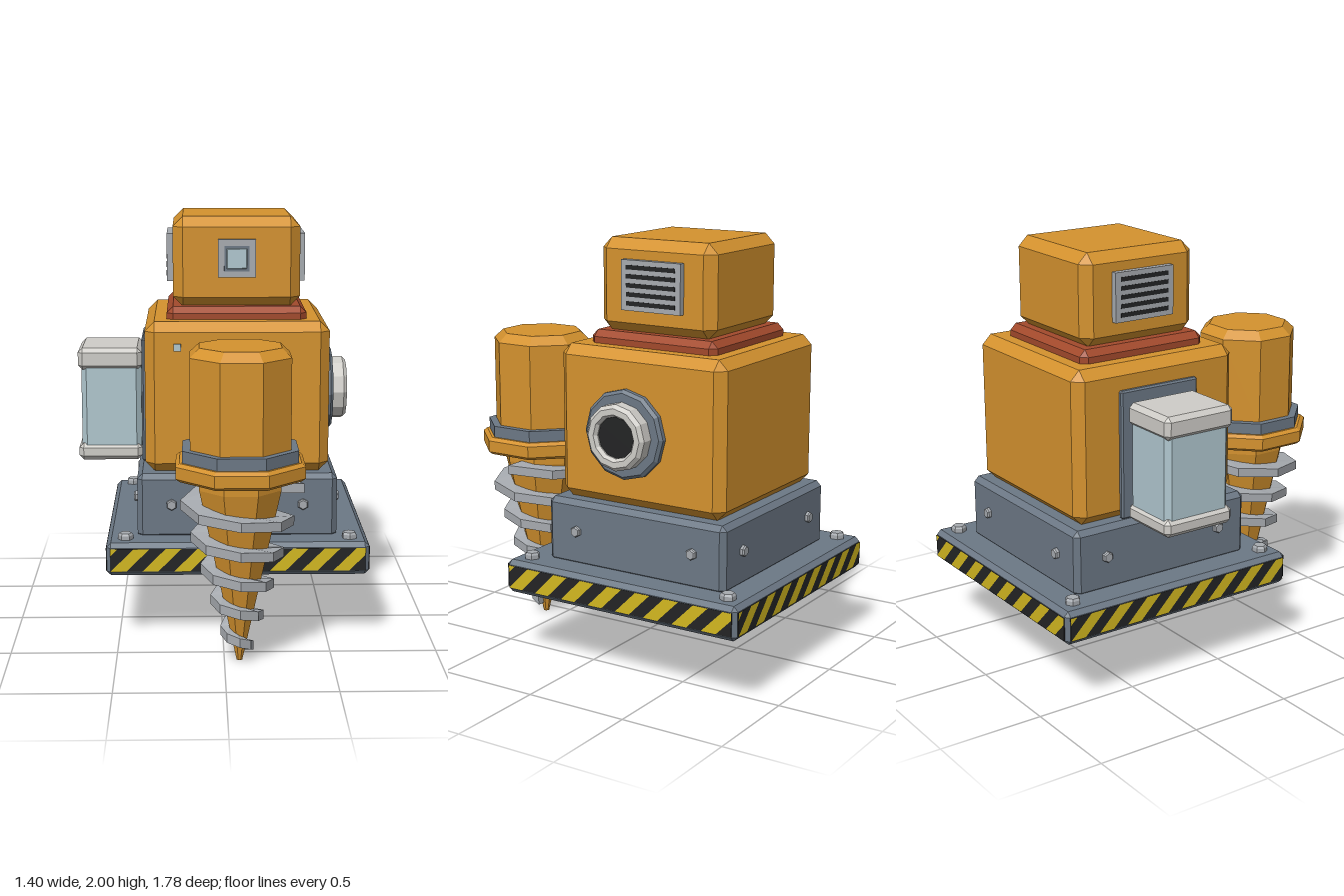
import * as THREE from 'three';
import { ConvexGeometry } from 'three/addons/geometries/ConvexGeometry.js';

const CX = 0.07, CZ = -0.26; // centre of the main stack
const DRILL_Z = 0.6;

function mat(name, color) {
  const m = new THREE.MeshStandardMaterial({ color });
  m.name = name;
  return m;
}

// faceted normals
function flat(geo) {
  const g = geo.index ? geo.toNonIndexed() : geo;
  g.computeVertexNormals();
  return g;
}

// box with all edges cut at 45 degrees
function chamferBox(w, h, d, c) {
  const pts = [];
  for (const x of [-1, 1]) for (const y of [-1, 1]) for (const z of [-1, 1]) {
    const a = x * w / 2, b = y * h / 2, e = z * d / 2;
    pts.push(new THREE.Vector3(a, b - y * c, e - z * c),
      new THREE.Vector3(a - x * c, b, e - z * c),
      new THREE.Vector3(a - x * c, b - y * c, e));
  }
  return new ConvexGeometry(pts);
}

// faceted lathe; radii are measured to the flats when onFlats is set
function turned(profile, sides, onFlats) {
  const k = onFlats ? 1 / Math.cos(Math.PI / sides) : 1;
  const g = new THREE.LatheGeometry(profile.map(([r, y]) => new THREE.Vector2(r * k, y)), sides);
  if (onFlats) g.rotateY(Math.PI / sides);
  return flat(g);
}

// spiral blade winding down a cone, square ends
function spiralBlade() {
  const turns = 5, steps = turns * 8, pos = [], idx = [];
  for (let i = 0; i <= steps; i++) {
    const a = -i * Math.PI / 4, y = 0.82 - 0.75 * i / steps;
    const rOut = 0.066 + 0.304 * (y - 0.07), rIn = 0.01 + 0.19 * y;
    for (const [r, h] of [[rIn, 0.022], [rOut, 0.022], [rOut, -0.022], [rIn, -0.022]])
      pos.push(r * Math.cos(a), y + h, r * Math.sin(a));
  }
  for (let i = 0; i < steps; i++) for (let c = 0; c < 4; c++) {
    const a = i * 4 + c, b = i * 4 + (c + 1) % 4;
    idx.push(a, b, b + 4, a, b + 4, a + 4);
  }
  const e = steps * 4;
  idx.push(0, 2, 1, 0, 3, 2, e, e + 1, e + 2, e, e + 2, e + 3);
  const g = new THREE.BufferGeometry();
  g.setAttribute('position', new THREE.Float32BufferAttribute(pos, 3));
  g.setIndex(idx);
  return flat(g);
}

// slanted stripes cut off at the ends of a strip
function stripeShapes(halfW, halfH, period) {
  const clip = (poly, s) => poly.flatMap((p, i) => {
    const q = poly[(i + 1) % poly.length], out = [];
    const pin = s * p[0] <= halfW, qin = s * q[0] <= halfW;
    if (pin) out.push(p);
    if (pin !== qin) {
      const t = (s * halfW - p[0]) / (q[0] - p[0]);
      out.push([s * halfW, p[1] + t * (q[1] - p[1])]);
    }
    return out;
  });
  const shapes = [];
  for (let x = -halfW - period; x < halfW; x += period) {
    const w = period / 2, s = halfH * 2;
    const poly = clip(clip([[x, -halfH], [x + w, -halfH], [x + w + s, halfH], [x + s, halfH]], 1), -1);
    if (poly.length > 2) shapes.push(new THREE.Shape(poly.map(p => new THREE.Vector2(...p))));
  }
  return shapes;
}

export function createModel() {
  const root = new THREE.Group();
  root.name = 'drillingMachine';
  const orange = mat('orange paint', 0xd4922e);
  const slate = mat('slate metal', 0x6c7885);
  const steel = mat('light steel', 0xa7abb0);
  const cream = mat('pale casing', 0xcfcdc8);
  const glass = mat('pale blue glass', 0xb0c7cf);
  const black = mat('black', 0x232425);
  const yellow = mat('warning yellow', 0xd3b820);
  const red = mat('rust red', 0xa34a2c);

  const add = (name, geo, m, x, y, z, parent = root) => {
    const mesh = new THREE.Mesh(geo, m);
    mesh.name = name;
    mesh.position.set(x, y, z);
    parent.add(mesh);
    return mesh;
  };
  const group = (name, x, y, z, ry = 0) => {
    const g = new THREE.Group();
    g.name = name;
    g.position.set(x, y, z);
    g.rotation.y = ry;
    root.add(g);
    return g;
  };

  // stacked housing
  add('basePlate', chamferBox(1.25, 0.16, 1.25, 0.022), slate, CX, 0.41, CZ);
  add('pedestal', chamferBox(0.96, 0.32, 0.96, 0.025), slate, CX, 0.63, CZ);
  add('body', chamferBox(0.88, 0.727, 0.88, 0.046), orange, CX, 1.152, CZ);
  add('neckCollar', chamferBox(0.67, 0.1, 0.67, 0.03), red, CX, 1.525, CZ);
  add('head', chamferBox(0.61, 0.43, 0.61, 0.048), orange, CX, 1.785, CZ);

  // warning strips and bolts, once per side
  const bolt = (r, h) => turned([[0, 0], [r, 0], [r, h * 0.7], [r * 0.8, h], [0, h]], 6);
  const stripes = new THREE.ShapeGeometry(stripeShapes(0.605, 0.055, 0.151));
  for (let i = 0; i < 4; i++) {
    const side = group('baseSide', CX, 0, CZ, i * Math.PI / 2);
    add('warningStrip', new THREE.BoxGeometry(1.21, 0.11, 0.006), black, 0, 0.41, 0.624, side);
    add('warningStripes', stripes, yellow, 0, 0.41, 0.629, side);
    add('cornerBolt', bolt(0.037, 0.033), steel, 0.535, 0.487, 0.535, side);
    for (const x of [-0.315, 0.315])
      add('pedestalBolt', bolt(0.027, 0.022).rotateX(Math.PI / 2), steel, x, 0.643, 0.478, side);
  }

  // head vents
  for (const s of [-1, 1]) {
    const vent = group('vent', CX + s * 0.305, 1.795, CZ, s * Math.PI / 2);
    add('ventFrame', new THREE.BoxGeometry(0.315, 0.23, 0.06), steel, 0, 0, 0, vent);
    for (let i = -2; i <= 2; i++)
      add('ventSlot', new THREE.BoxGeometry(0.26, 0.02, 0.004), black, 0, i * 0.041, 0.03, vent);
  }

  // head lens and status light
  add('lensFrame', new THREE.BoxGeometry(0.18, 0.18, 0.03), steel, CX, 1.805, 0.047);
  add('lensRim', new THREE.BoxGeometry(0.12, 0.12, 0.02), slate, CX, 1.805, 0.057);
  add('lens', chamferBox(0.106, 0.106, 0.03, 0.008), glass, CX, 1.805, 0.056);
  add('statusLight', new THREE.BoxGeometry(0.035, 0.035, 0.025), glass, -0.215, 1.398, 0.18);

  // round port on the left side
  const port = group('sidePort', 0.51, 1.135, -0.2);
  add('portFlange', turned([[0, -0.02], [0.21, -0.02], [0.21, 0.022], [0.195, 0.035], [0, 0.035]], 12)
    .rotateZ(-Math.PI / 2), slate, 0, 0, 0, port);
  add('portRing', turned([[0.155, 0.02], [0.155, 0.09], [0.138, 0.107], [0.11, 0.107], [0.097, 0.09], [0.097, 0.05]], 12)
    .rotateZ(-Math.PI / 2), cream, 0, 0, 0, port);
  add('portHole', turned([[0.1, 0.083], [0, 0.083]], 12).rotateZ(-Math.PI / 2), black, 0, 0, 0, port);

  // fluid tank on the right side
  add('tankMount', chamferBox(0.03, 0.61, 0.42, 0.008), slate, -0.377, 1.097, -0.265);
  add('tank', chamferBox(0.295, 0.5, 0.345, 0.025), glass, -0.5425, 1.07, -0.265);
  for (const [y, h] of [[1.297, 0.108], [0.832, 0.084]])
    add('tankCap', chamferBox(0.312, h, 0.37, 0.022), cream, -0.549, y, -0.265);

  // arm holding the drill
  add('armFlange', turned([[0, -0.02], [0.18, -0.02], [0.18, 0.04], [0.165, 0.055], [0, 0.055]], 12)
    .rotateX(Math.PI / 2), slate, CX, 1.187, 0.18);
  add('arm', turned([[0, 0], [0.107, 0], [0.107, 0.25], [0, 0.25]], 8, true)
    .rotateX(Math.PI / 2), orange, CX, 1.187, 0.2);

  // drill
  const drill = group('drill', CX, 0, DRILL_Z);
  add('motorHousing', turned([[0, 1], [0.226, 1], [0.226, 1.435], [0.183, 1.477], [0, 1.477]], 8, true),
    orange, 0, 0, 0, drill);
  add('motorRing', turned([[0, 0.95], [0.26, 0.95], [0.26, 1.02], [0, 1.02]], 8, true), slate, 0, 0, 0, drill);
  add('motorFlange', turned([[0, 0.88], [0.272, 0.88], [0.29, 0.895], [0.29, 0.95], [0.272, 0.965], [0, 0.965]], 8, true),
    orange, 0, 0, 0, drill);
  add('drillCone', turned([[0, 0], [0.013, 0.002], [0.185, 0.83], [0.185, 0.89], [0, 0.89]], 8, true),
    orange, 0, 0, 0, drill);
  add('spiralBlade', spiralBlade(), steel, 0, 0, 0, drill);

  return root;
}
